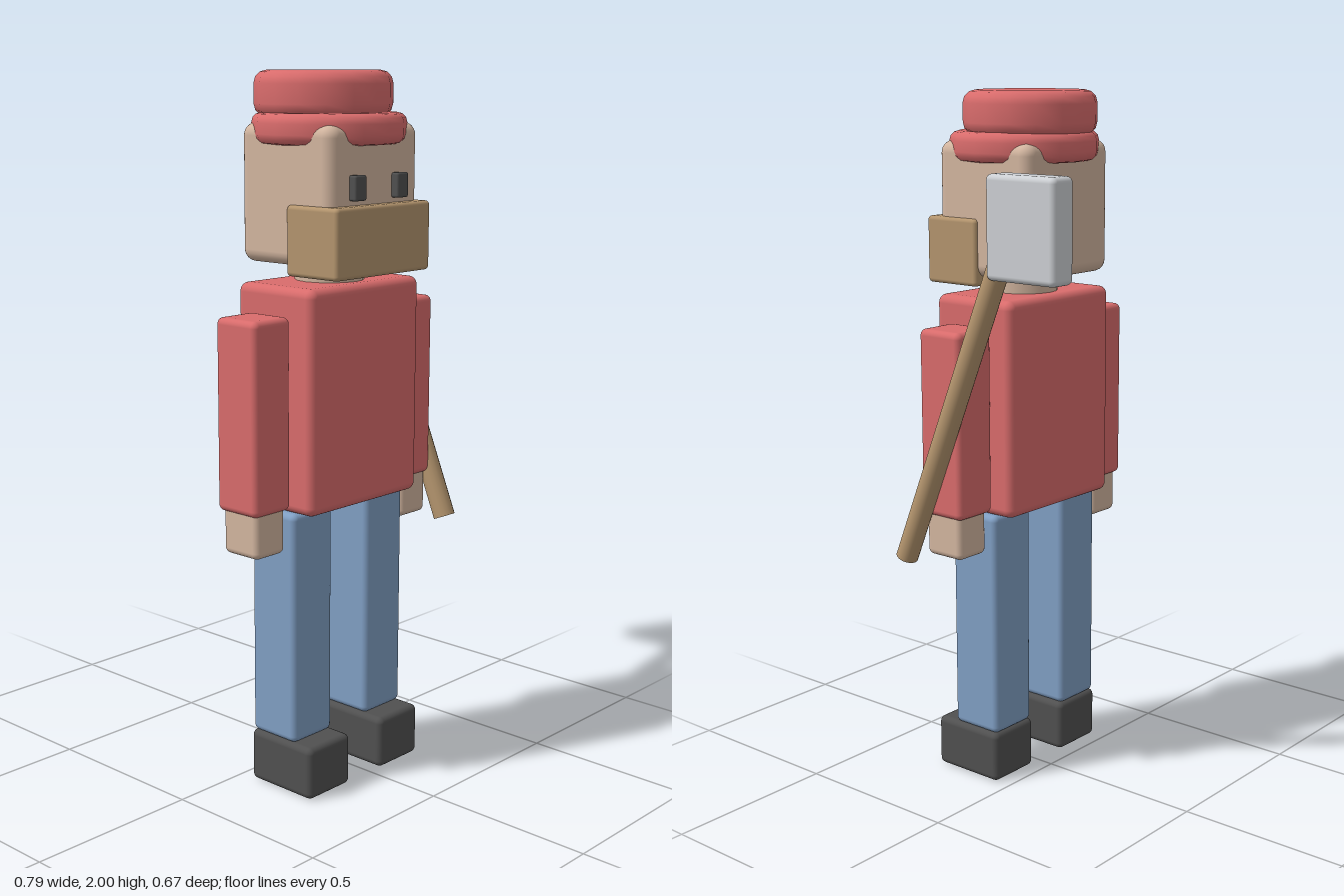
import * as THREE from 'three';
import { RoundedBoxGeometry } from 'three/addons/geometries/RoundedBoxGeometry.js';

function material(name, color) {
  const m = new THREE.MeshStandardMaterial({ color });
  m.name = name;
  return m;
}

export function createModel() {
  const model = new THREE.Group();
  model.name = 'woodcutter';

  const red = material('red cloth', 0xd96c6c);
  const blue = material('blue denim', 0x809fc4);
  const skin = material('skin', 0xd3b6a0);
  const wood = material('light brown', 0xb4956e);
  const dark = material('dark grey', 0x505050);
  const steel = material('steel', 0xcdd0d4);

  const add = (name, geometry, mat) => {
    const mesh = new THREE.Mesh(geometry, mat);
    mesh.name = name;
    model.add(mesh);
    return mesh;
  };

  // Rounded block given by its extents on each axis
  const block = (name, mat, [x0, x1], [y0, y1], [z0, z1], bevel) => {
    const geometry = new RoundedBoxGeometry(x1 - x0, y1 - y0, z1 - z0, 3, bevel);
    add(name, geometry, mat).position.set((x0 + x1) / 2, (y0 + y1) / 2, (z0 + z1) / 2);
  };

  // Body axis sits slightly to the right, leaving room for the axe
  const cx = -0.03;

  // Torso, neck, head and beard
  block('torso', red, [-0.253, 0.195], [0.815, 1.435], [-0.015, 0.265], 0.025);
  add('neck', new THREE.CylinderGeometry(0.097, 0.097, 0.14, 16), skin).position.set(cx, 1.46, 0.125);
  block('head', skin, [-0.21, 0.152], [1.485, 1.862], [-0.046, 0.292], 0.035);
  block('beard', wood, [-0.222, 0.162], [1.46, 1.65], [0.14, 0.325], 0.012);

  // Limbs and eyes, mirrored about the body axis
  for (const [side, s] of [['left', 1], ['right', -1]]) {
    const span = (inner, outer) => [cx + s * inner, cx + s * outer].sort((a, b) => a - b);
    block(side + 'Arm', red, span(0.23, 0.368), [0.83, 1.36], [0.048, 0.198], 0.018);
    block(side + 'Hand', skin, span(0.245, 0.357), [0.71, 0.85], [0.06, 0.19], 0.018);
    block(side + 'Leg', blue, span(0.072, 0.23), [0.15, 0.815], [0.042, 0.207], 0.018);
    block(side + 'Shoe', dark, span(0.065, 0.235), [0, 0.152], [0.04, 0.272], 0.018);
    block(side + 'Eye', dark, span(0.063, 0.108), [1.663, 1.73], [0.28, 0.315], 0.006);
  }

  // Cap: 16-sided discs with rounded rims
  const disc = (name, radius, y0, y1, z, bevel) => {
    const points = [new THREE.Vector2(0, y0)];
    for (const [cy, start] of [[y0 + bevel, -Math.PI / 2], [y1 - bevel, 0]]) {
      for (let i = 0; i <= 3; i++) {
        const a = start + (i / 3) * (Math.PI / 2);
        points.push(new THREE.Vector2(radius - bevel + bevel * Math.cos(a), cy + bevel * Math.sin(a)));
      }
    }
    points.push(new THREE.Vector2(0, y1));
    add(name, new THREE.LatheGeometry(points, 16), red).position.set(cx, 0, z);
  };
  disc('capBrim', 0.212, 1.805, 1.888, 0.122, 0.027);
  disc('capCrown', 0.19, 1.875, 2.0, 0.1, 0.036);

  // Axe: leaning handle with a blade at its top
  const foot = new THREE.Vector3(0.353, 0.697, 0.243);
  const tip = new THREE.Vector3(0.353, 1.62, -0.14);
  const along = tip.clone().sub(foot);
  const handle = add('axeHandle', new THREE.CylinderGeometry(0.032, 0.032, along.length(), 16), wood);
  handle.position.copy(foot).add(tip).multiplyScalar(0.5);
  handle.quaternion.setFromUnitVectors(new THREE.Vector3(0, 1, 0), along.normalize());
  block('axeBlade', steel, [0.313, 0.397], [1.525, 1.8], [-0.335, -0.103], 0.016);

  return model;
}
